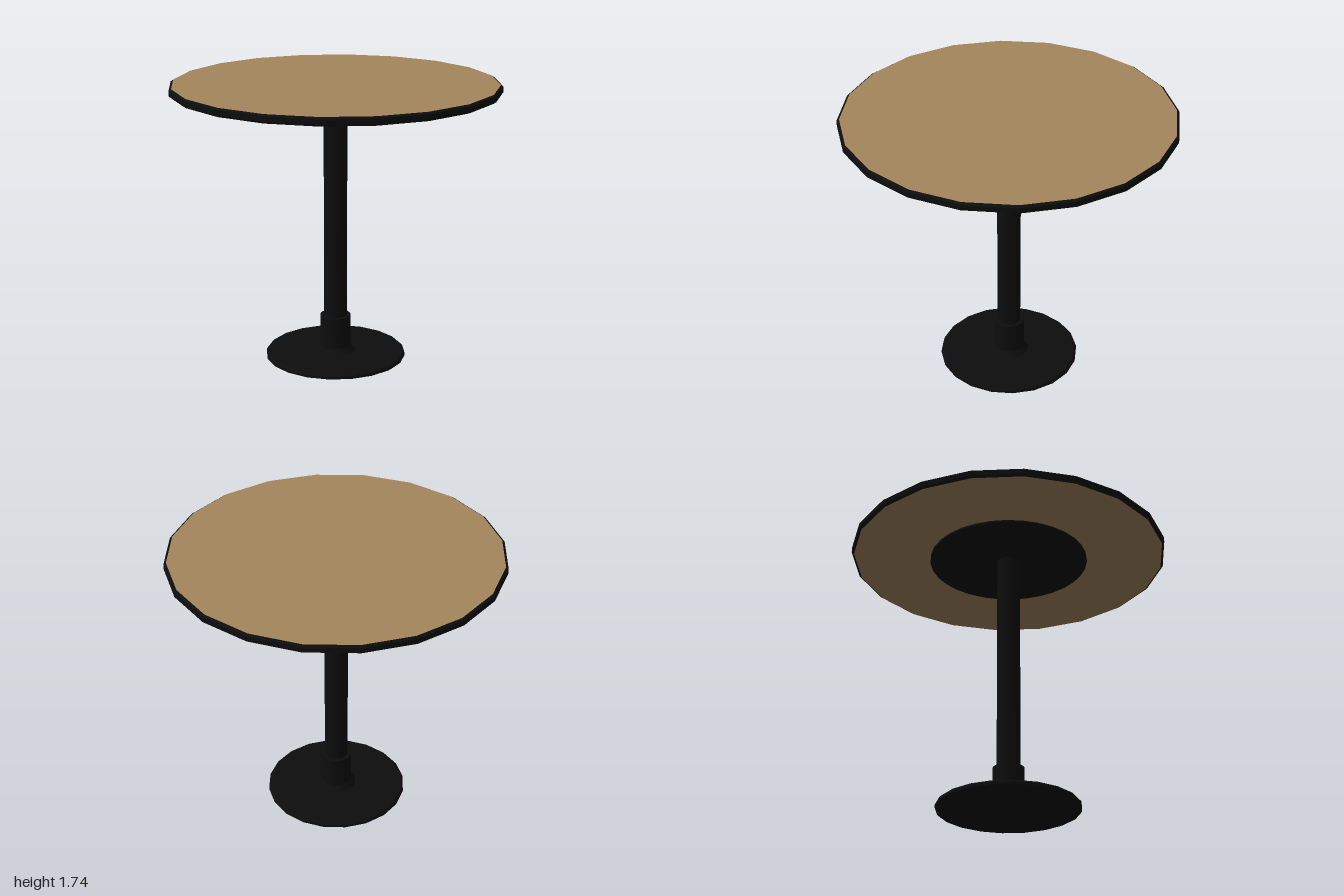
import * as THREE from 'three';
import { toCreasedNormals } from 'three/addons/utils/BufferGeometryUtils.js';

const wood = new THREE.MeshStandardMaterial({ color: 0xa5865d });
const blackMetal = new THREE.MeshStandardMaterial({ color: 0x0d0d0d });

// Turned part: [radius, y] profile listed from bottom to top
function turned(name, profile, sides, crease) {
  const points = profile.map(([r, y]) => new THREE.Vector2(r, y));
  const geometry = toCreasedNormals(new THREE.LatheGeometry(points, sides), crease);
  const mesh = new THREE.Mesh(geometry, blackMetal);
  mesh.name = name;
  return mesh;
}

// Flat wooden face of the tabletop, facing up (1) or down (-1)
function woodFace(name, y, facing) {
  const geometry = new THREE.CircleGeometry(0.985, 20);
  geometry.rotateX(-facing * Math.PI / 2);
  const mesh = new THREE.Mesh(geometry, wood);
  mesh.name = name;
  mesh.position.y = y;
  return mesh;
}

export function createModel() {
  const table = new THREE.Group();
  table.name = 'pedestalTable';

  // Twenty-sided top with a bevelled black edge band
  const top = new THREE.Group();
  top.name = 'tabletop';
  top.add(
    woodFace('topSurface', 1.735, 1),
    woodFace('undersideSurface', 1.683, -1),
    turned('edgeBand', [[0.985, 1.683], [1, 1.693], [1, 1.725], [0.985, 1.735]], 20, 0.1),
  );

  // Mounting plate under the top
  const plate = turned('mountingPlate', [[0, 1.67], [0.5, 1.67], [0.5, 1.684]], 32, 0.5);

  // Column with a wider sleeve that flares onto the base
  const column = turned('column', [[0.072, 0.02], [0.072, 1.672]], 24, 0.5);
  const sleeve = turned('sleeve',
    [[0.125, 0.025], [0.096, 0.062], [0.096, 0.26], [0.07, 0.26]], 24, 0.5);

  // Thin round foot with a small bevel
  const base = turned('base',
    [[0, 0], [0.437, 0], [0.437, 0.015], [0.425, 0.027], [0, 0.027]], 20, 0.4);

  table.add(top, plate, column, sleeve, base);
  return table;
}
